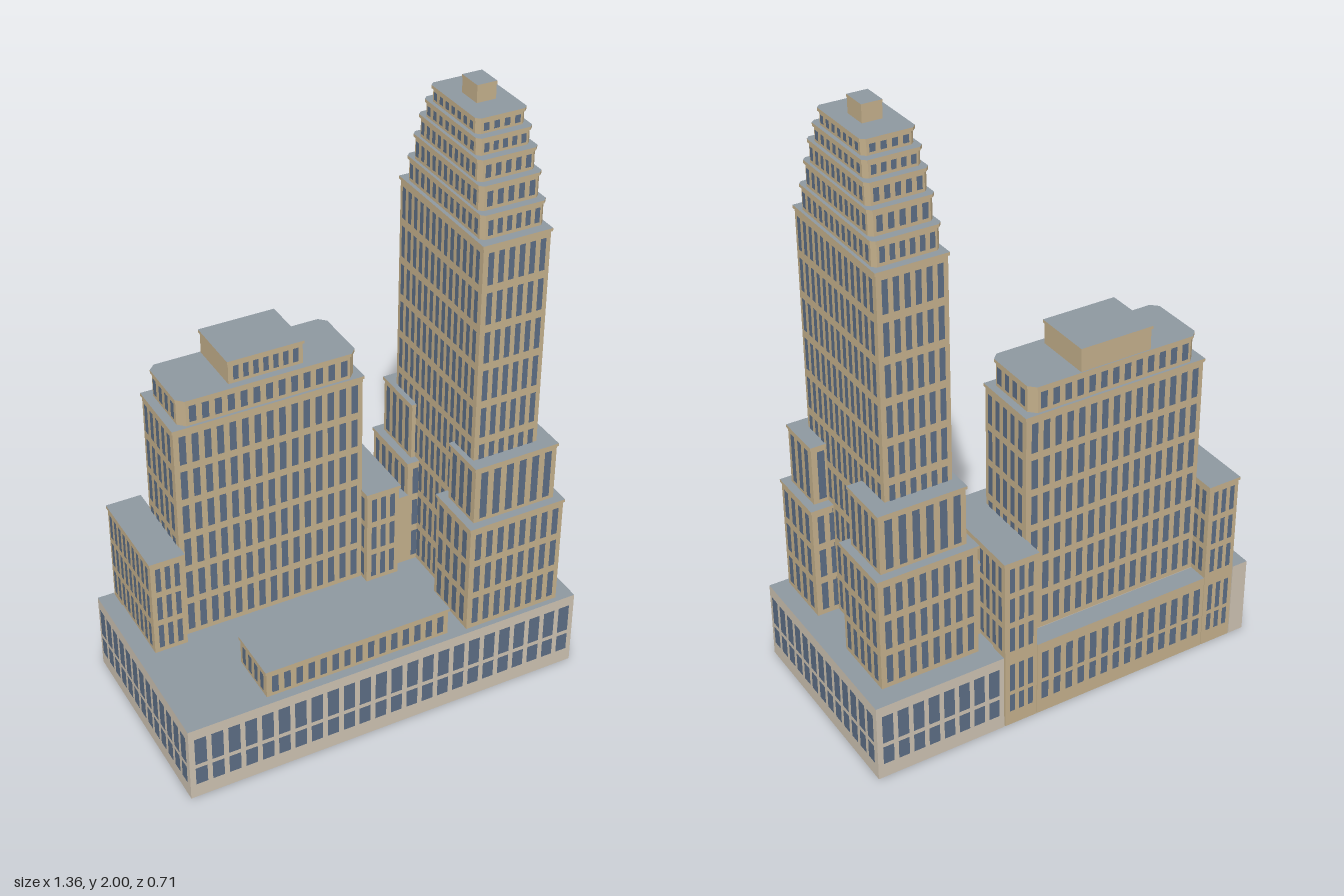
import * as THREE from 'three';
import { mergeGeometries } from 'three/addons/utils/BufferGeometryUtils.js';

const mat = (name, color, side = THREE.DoubleSide) => {
  const m = new THREE.MeshStandardMaterial({ color, side });
  m.name = name;
  return m;
};

// Upright prism on an [x, z] outline, with a top but no bottom
function prism(outline, y0, y1) {
  const shape = new THREE.Shape(outline.map(([x, z]) => new THREE.Vector2(x, -z)));
  const full = new THREE.ExtrudeGeometry(shape, { depth: y1 - y0, bevelEnabled: false });
  full.rotateX(-Math.PI / 2).translate(0, y0, 0);
  const p = full.attributes.position, n = full.attributes.normal;
  const pos = [], nor = [];
  let capCount = 0;
  for (let i = 0; i < p.count; i += 3) {
    if (n.getY(i) < -0.5) continue;
    if (n.getY(i) > 0.5) capCount += 3;
    for (let k = i; k < i + 3; k++) {
      pos.push(p.getX(k), p.getY(k), p.getZ(k));
      nor.push(n.getX(k), n.getY(k), n.getZ(k));
    }
  }
  const g = new THREE.BufferGeometry();
  g.setAttribute('position', new THREE.Float32BufferAttribute(pos, 3));
  g.setAttribute('normal', new THREE.Float32BufferAttribute(nor, 3));
  g.addGroup(0, capCount, 0);
  g.addGroup(capCount, pos.length / 3 - capCount, 1);
  return g;
}

// Rectangle outline with optional cut corners, grown by e
function rect(x0, x1, z0, z1, c = 0, e = 0) {
  x0 -= e; x1 += e; z0 -= e; z1 += e;
  if (!c) return [[x0, z1], [x1, z1], [x1, z0], [x0, z0]];
  return [[x0 + c, z1], [x1 - c, z1], [x1, z1 - c], [x1, z0 + c],
    [x1 - c, z0], [x0 + c, z0], [x0, z0 + c], [x0, z1 - c]];
}

// Grid of window panes on one wall: side 0 front, 1 +x, 2 back, 3 -x
function panes(side, at, a0, a1, cols, fillX, rows) {
  const out = [], pitch = (a1 - a0) / cols;
  const sign = side === 0 || side === 1 ? 1 : -1;
  for (const [y0, y1] of rows) {
    for (let i = 0; i < cols; i++) {
      const a = a0 + (i + 0.5) * pitch, d = at + sign * 0.002;
      const g = new THREE.PlaneGeometry(pitch * fillX, y1 - y0);
      g.rotateY(side * Math.PI / 2);
      if (side % 2) g.translate(d, (y0 + y1) / 2, a);
      else g.translate(a, (y0 + y1) / 2, d);
      out.push(g);
    }
  }
  return out;
}

// Even window rows between two heights
function storeys(y0, y1, n, fill = 0.8) {
  const h = (y1 - y0) / n;
  return Array.from({ length: n }, (_, i) => {
    const m = y0 + (i + 0.5) * h;
    return [m - h * fill / 2, m + h * fill / 2];
  });
}

export function createModel() {
  const root = new THREE.Group();
  root.name = 'skyscraperComplex';
  const stone = mat('tanStone', 0xc2ae8a);
  const pale = mat('paleStone', 0xcbc0b0);
  const roof = mat('greyRoof', 0x8d979f);
  const glass = mat('blueGlass', 0x5b6c83, THREE.FrontSide);

  const add = (parent, name, geo, material) => {
    const m = new THREE.Mesh(geo, material);
    m.name = name;
    parent.add(m);
  };

  // A block with roof ledge and windows; b = [x0, x1, z0, z1, y0, y1]
  function block(name, b, { rows = 1, cut = 0, pitch = 0.042, sides = [0, 1, 2, 3], from, fill = 0.8, ledge = 0.004 } = {}) {
    const [x0, x1, z0, z1, y0, y1] = b;
    const g = new THREE.Group();
    g.name = name;
    root.add(g);
    add(g, name + 'Walls', prism(rect(x0, x1, z0, z1, cut), y0, y1 - 0.004), [roof, stone]);
    add(g, name + 'Ledge', prism(rect(x0, x1, z0, z1, cut, ledge), y1 - 0.01, y1), [roof, stone]);
    if (!rows) return;
    const list = storeys((from ?? y0) + 0.006, y1 - 0.014, rows, fill);
    const pad = Math.max(cut, 0.008);
    const geos = [];
    for (const s of sides) {
      const [a0, a1] = s % 2 ? [z0 + pad, z1 - pad] : [x0 + pad, x1 - pad];
      const cols = Math.max(2, Math.round((a1 - a0) / pitch));
      geos.push(...panes(s, [z1, x1, z0, x0][s], a0, a1, cols, 0.54, list));
    }
    add(g, name + 'Windows', mergeGeometries(geos), glass);
  }

  // Hollow podium, notched at the back
  const H = 0.27;
  add(root, 'podium', prism([[-0.68, 0.35], [0.68, 0.35], [0.68, -0.35], [0.24, -0.35],
    [0.24, -0.28], [-0.625, -0.28], [-0.625, -0.35], [-0.68, -0.35]], 0, H), [roof, pale]);
  const podiumRows = [[0.053, 0.118], [0.133, 0.235]];
  add(root, 'podiumWindows', mergeGeometries([
    ...panes(0, 0.35, -0.67, 0.67, 24, 0.7, podiumRows),
    ...panes(1, 0.68, -0.34, 0.34, 13, 0.7, podiumRows),
    ...panes(3, -0.68, -0.34, 0.34, 13, 0.7, podiumRows),
    ...panes(2, -0.35, 0.25, 0.67, 8, 0.7, podiumRows),
  ]), glass);

  // Rear link filling the notch between the wings
  add(root, 'rearLink', prism(rect(-0.51, 0.12, -0.35, -0.282), 0, H), [roof, stone]);
  add(root, 'rearLinkWindows', mergeGeometries(
    panes(2, -0.35, -0.505, 0.115, 14, 0.55, podiumRows)), glass);

  // Broad slab with set-back crown and penthouse
  block('slab', [-0.51, 0.12, -0.28, -0.055, H, 1.05], { rows: 6 });
  block('slabCrown', [-0.485, 0.1, -0.275, -0.06, 1.05, 1.14], { cut: 0.022 });
  block('penthouse', [-0.315, -0.07, -0.275, -0.08, 1.14, 1.22], { sides: [0], pitch: 0.034 });

  // Wings either side of the slab, running down to the ground at the back
  for (const [name, x0, x1] of [['rightWing', -0.622, -0.512], ['leftWing', 0.122, 0.236]]) {
    block(name, [x0, x1, -0.35, -0.02, 0, 0.62], { rows: 3, from: H, pitch: 0.036 });
    add(root, name + 'LowWindows', mergeGeometries(
      panes(2, -0.35, x0 + 0.008, x1 - 0.008, 3, 0.54, podiumRows)), glass);
  }

  // Low front pavilion and plain connector
  block('frontPavilion', [-0.405, 0.225, 0.14, 0.32, H, 0.37], {});
  block('connector', [0.238, 0.287, -0.21, -0.055, H, 0.54], { rows: 0 });

  // Stepped shoulders in front of and behind the tower
  for (const [name, a, b, c, d] of [['frontShoulder', 0.13, 0.332, 0.158, 0.308],
    ['backShoulder', -0.28, -0.055, -0.255, -0.077]]) {
    block(name, [0.287, 0.62, a, b, H, 0.665], { rows: 3 });
    block(name + 'Upper', [0.31, 0.597, c, d, 0.665, 0.87], { fill: 0.92 });
  }

  // Tower shaft and its tapering crown
  block('towerShaft', [0.325, 0.548, -0.205, 0.268, H, 1.61], { rows: 10, pitch: 0.036 });
  [
    [0.333, 0.542, -0.183, 0.241, 1.61, 1.69],
    [0.338, 0.536, -0.16, 0.219, 1.69, 1.77],
    [0.343, 0.531, -0.14, 0.198, 1.77, 1.84],
    [0.349, 0.524, -0.12, 0.176, 1.84, 1.895],
    [0.357, 0.516, -0.099, 0.155, 1.895, 1.945],
  ].forEach((b, i) => block('towerTier' + (i + 1), b, { cut: 0.012, pitch: 0.033 }));
  block('towerCap', [0.405, 0.468, -0.01, 0.07, 1.945, 2], { rows: 0, ledge: 0.001 });

  return root;
}
